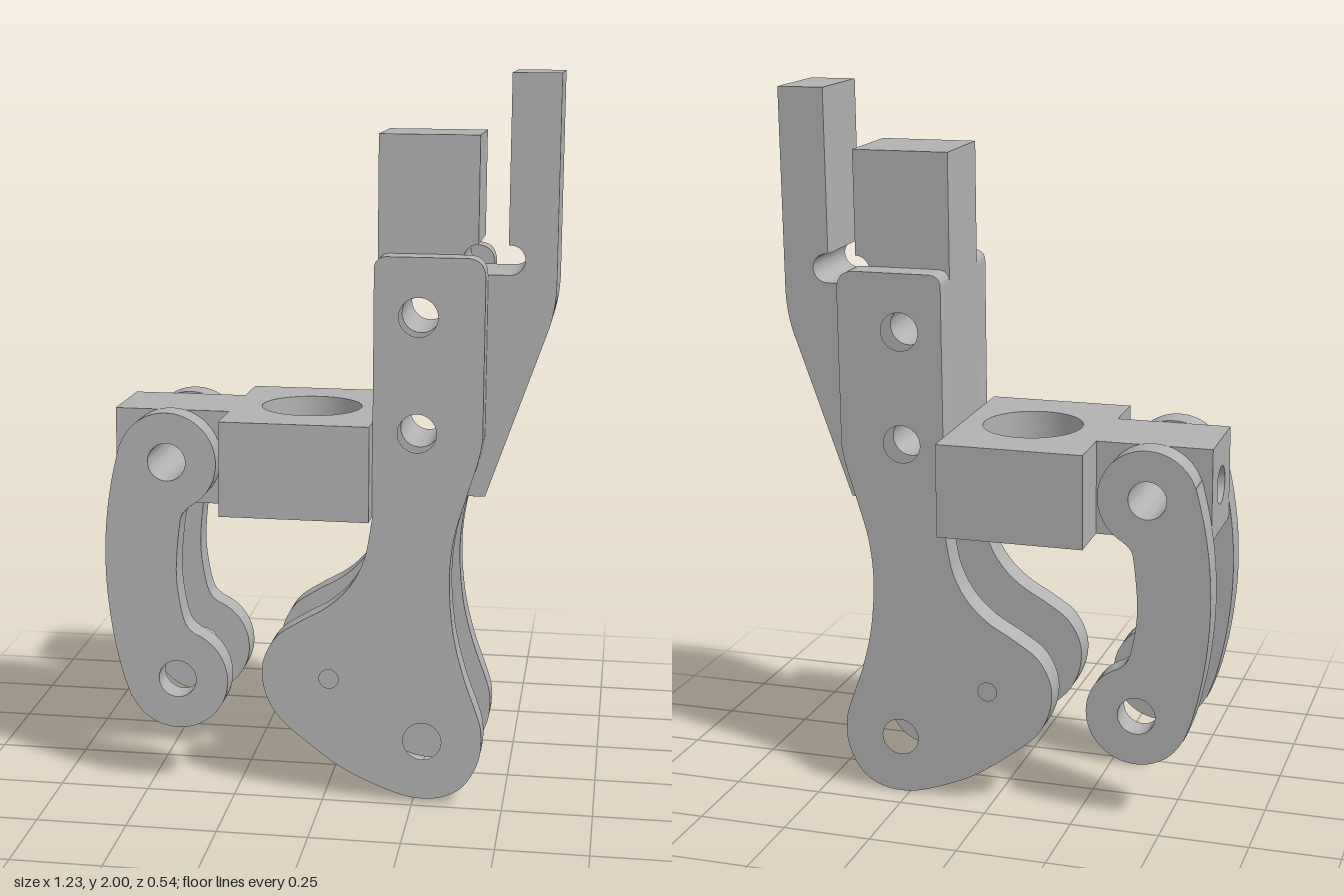
import * as THREE from 'three';
import { toCreasedNormals } from 'three/addons/utils/BufferGeometryUtils.js';

const HALF = 0.12;    // half depth of the central bars
const PLATE = 0.078;  // thickness of side plates and links
const PIN = 0.053;    // pin hole radius

const steel = new THREE.MeshStandardMaterial({ color: 0xb2b2b2 });
steel.name = 'plain grey steel';

const v = (x, y) => new THREE.Vector2(x, y);

function addHole(shape, x, y, r = PIN) {
  const hole = new THREE.Path();
  hole.absarc(x, y, r, 0, Math.PI * 2, true);
  shape.holes.push(hole);
  return shape;
}

function rect(x0, y0, x1, y1) {
  return new THREE.Shape([v(x0, y0), v(x1, y0), v(x1, y1), v(x0, y1)]);
}

// Extrusion from z = 0 to depth, smooth round curves and sharp rims
function extrude(shape, depth) {
  const g = new THREE.ExtrudeGeometry(shape, { depth, bevelEnabled: false, curveSegments: 20 });
  return toCreasedNormals(g, 0.5);
}

function part(name, geometry) {
  const mesh = new THREE.Mesh(geometry, steel);
  mesh.name = name;
  return mesh;
}

// Long side plate, wide at the foot
function plateShape() {
  const s = new THREE.Shape();
  s.moveTo(0.13, 0.8);
  s.lineTo(0.13, 1.485);
  s.quadraticCurveTo(0.13, 1.52, 0.165, 1.52);
  s.lineTo(0.375, 1.52);
  s.quadraticCurveTo(0.427, 1.52, 0.427, 1.465);
  s.lineTo(0.427, 1.03);
  s.splineThru([v(0.415, 0.97), v(0.385, 0.87), v(0.355, 0.76), v(0.344, 0.64),
    v(0.355, 0.5), v(0.383, 0.38), v(0.42, 0.275)]);
  s.splineThru([v(0.438, 0.21), v(0.433, 0.13), v(0.395, 0.055), v(0.34, 0.018),
    v(0.27, 0.008), v(0.19, 0.024), v(0.05, 0.085), v(-0.09, 0.187)]);
  s.splineThru([v(-0.14, 0.24), v(-0.17, 0.31), v(-0.171, 0.385), v(-0.135, 0.455),
    v(-0.07, 0.502), v(0.01, 0.55), v(0.07, 0.61), v(0.11, 0.69), v(0.13, 0.8)]);
  addHole(s, 0.25, 1.36);
  addHole(s, 0.25, 1.045);
  addHole(s, 0.275, 0.175);
  return addHole(s, 0.013, 0.342, 0.027);
}

// Curved link with a round eye at each end
function linkShape() {
  const s = new THREE.Shape();
  s.moveTo(-0.572, 0.985);
  s.splineThru([v(-0.598, 0.87), v(-0.614, 0.74), v(-0.615, 0.6), v(-0.6, 0.46),
    v(-0.575, 0.34), v(-0.548, 0.26)]);
  s.absarc(-0.415, 0.319, 0.143, Math.PI + 0.42, Math.PI * 2 + 1.2, false);
  s.splineThru([v(-0.387, 0.475), v(-0.402, 0.52), v(-0.414, 0.6), v(-0.414, 0.67),
    v(-0.405, 0.76), v(-0.397, 0.795), v(-0.375, 0.818)]);
  s.absarc(-0.44, 0.94, 0.138, -1.08, Math.PI - 0.33, false);
  addHole(s, -0.44, 0.94);
  return addHole(s, -0.415, 0.319);
}

// Upright bar with an offset arm and a rounded relief slot between them
function uprightShape() {
  const s = new THREE.Shape();
  s.moveTo(0.13, 0.86);
  s.lineTo(0.43, 0.86);
  s.lineTo(0.59, 1.32);
  s.quadraticCurveTo(0.61, 1.38, 0.61, 1.45);
  s.lineTo(0.61, 2);
  s.lineTo(0.48, 2);
  s.lineTo(0.48, 1.548);
  s.absarc(0.485, 1.508, 0.04, Math.PI / 2, -Math.PI / 2, true);
  s.lineTo(0.4, 1.468);
  s.absarc(0.4, 1.508, 0.04, -Math.PI / 2, -Math.PI * 1.5, true);
  s.lineTo(0.4, 1.837);
  s.lineTo(0.13, 1.837);
  s.closePath();
  addHole(s, 0.25, 1.36);
  return addHole(s, 0.25, 1.045);
}

export function createModel() {
  const model = new THREE.Group();
  model.name = 'clampLinkage';
  const body = new THREE.Group();
  body.name = 'tiltedAssembly';
  body.position.z = 0.03;
  body.rotation.x = -0.03;
  model.add(body);

  // Mirrored side plates and links
  const plateGeometry = extrude(plateShape(), PLATE);
  const linkGeometry = extrude(linkShape(), PLATE);
  for (const [side, z] of [['front', HALF], ['back', -HALF - PLATE]]) {
    const plate = part(side + 'SidePlate', plateGeometry);
    const link = part(side + 'Link', linkGeometry);
    plate.position.z = link.position.z = z;
    body.add(plate, link);
  }

  // Upright between the side plates
  const upright = part('uprightWithArm', extrude(uprightShape(), HALF * 2));
  upright.position.z = -HALF;
  body.add(upright);

  // Wide block with a vertical bore
  const y0 = 0.81, y1 = 1.0725;
  const collarShape = addHole(rect(-0.28, -0.266, 0.13, 0.266), -0.067, 0, 0.14);
  const collar = part('boredBlock', extrude(collarShape, y1 - y0).rotateX(-Math.PI / 2));
  collar.position.y = y0;
  body.add(collar);

  // Tongue holding the link pin
  const tongue = part('pinTongue',
    extrude(addHole(rect(-0.5, y0, -0.28, y1), -0.44, 0.94), HALF * 2));
  tongue.position.z = -HALF;
  body.add(tongue);

  // Tongue end with a hole drilled along x
  const endShape = addHole(rect(-HALF, y0, HALF, y1), 0, 0.94);
  const end = part('drilledTongueEnd', extrude(endShape, 0.1).rotateY(Math.PI / 2));
  end.position.x = -0.6;
  body.add(end);

  return model;
}
